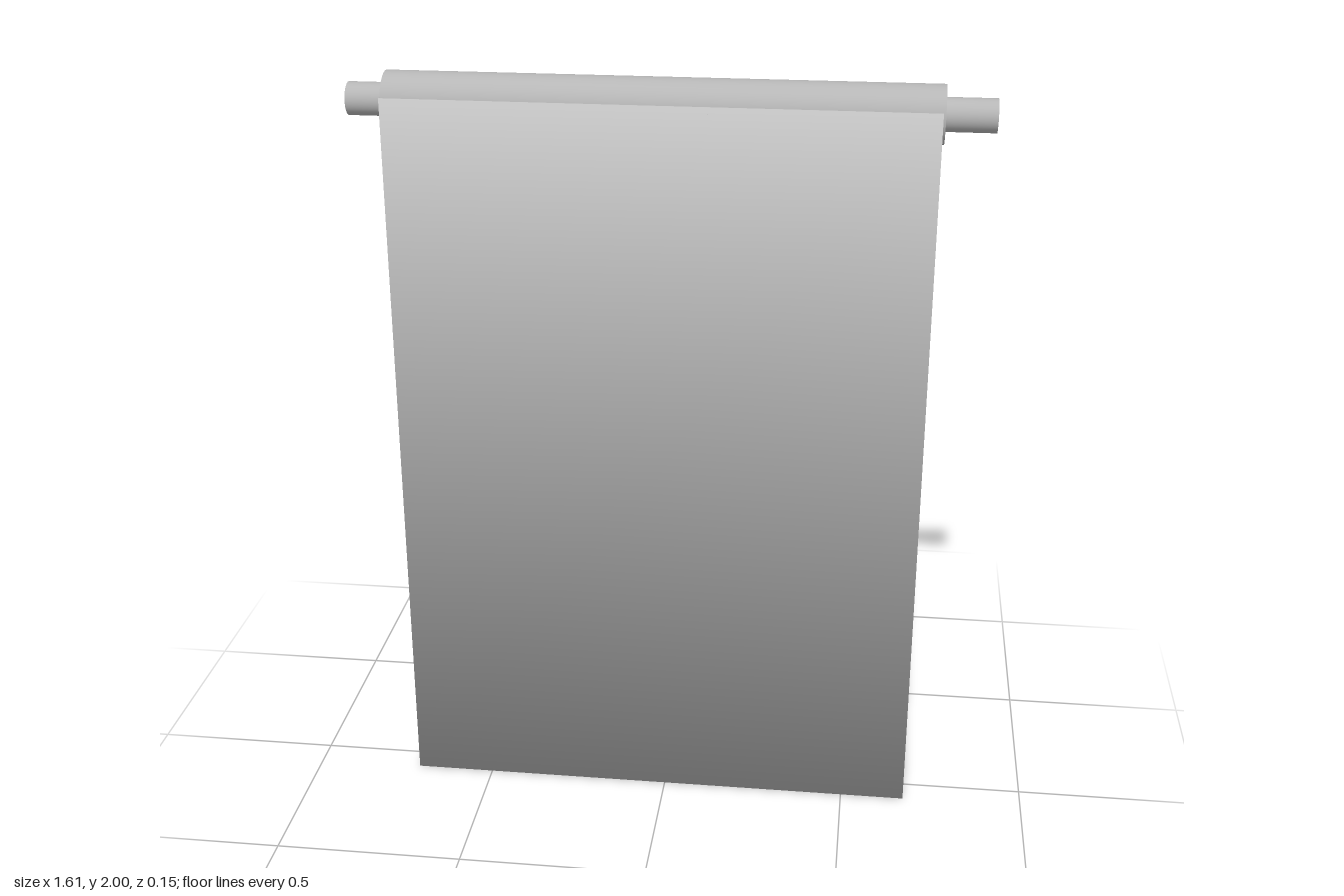
import * as THREE from 'three';

export function createModel() {
  const group = new THREE.Group();
  const material = new THREE.MeshStandardMaterial({ color: 0xcccccc });
  const axisY = 1.927;

  // Smooth shading across every edge: normals point outward from the centre,
  // scaled by the half extents so that meeting faces count equally
  const smoothAcrossEdges = (geometry) => {
    geometry.computeBoundingBox();
    const half = geometry.boundingBox.max;
    const { position, normal } = geometry.attributes;
    const n = new THREE.Vector3();
    for (let i = 0; i < position.count; i++) {
      n.fromBufferAttribute(position, i).divide(half).normalize();
      normal.setXYZ(i, n.x, n.y, n.z);
    }
  };

  const add = (name, geometry, x, y, z) => {
    smoothAcrossEdges(geometry);
    const mesh = new THREE.Mesh(geometry, material);
    mesh.name = name;
    mesh.position.set(x, y, z);
    group.add(mesh);
  };

  // Horizontal cylinder spanning x0 to x1 on the roller axis
  const addBar = (name, radius, x0, x1) => {
    const geometry = new THREE.CylinderGeometry(radius, radius, x1 - x0, 48);
    geometry.rotateZ(-Math.PI / 2);
    add(name, geometry, (x0 + x1) / 2, axisY, 0);
  };

  // Rolled-up fabric and the pins at its ends
  addBar('roller', 0.073, -0.71, 0.68);
  addBar('rightPin', 0.042, -0.808, -0.71);
  addBar('leftPin', 0.042, 0.68, 0.806);

  // Hanging sheet, flush with the front of the roller
  const top = 1.945;
  add('sheet', new THREE.BoxGeometry(1.387, top, 0.023), -0.0195, top / 2, 0.0615);

  return group;
}
